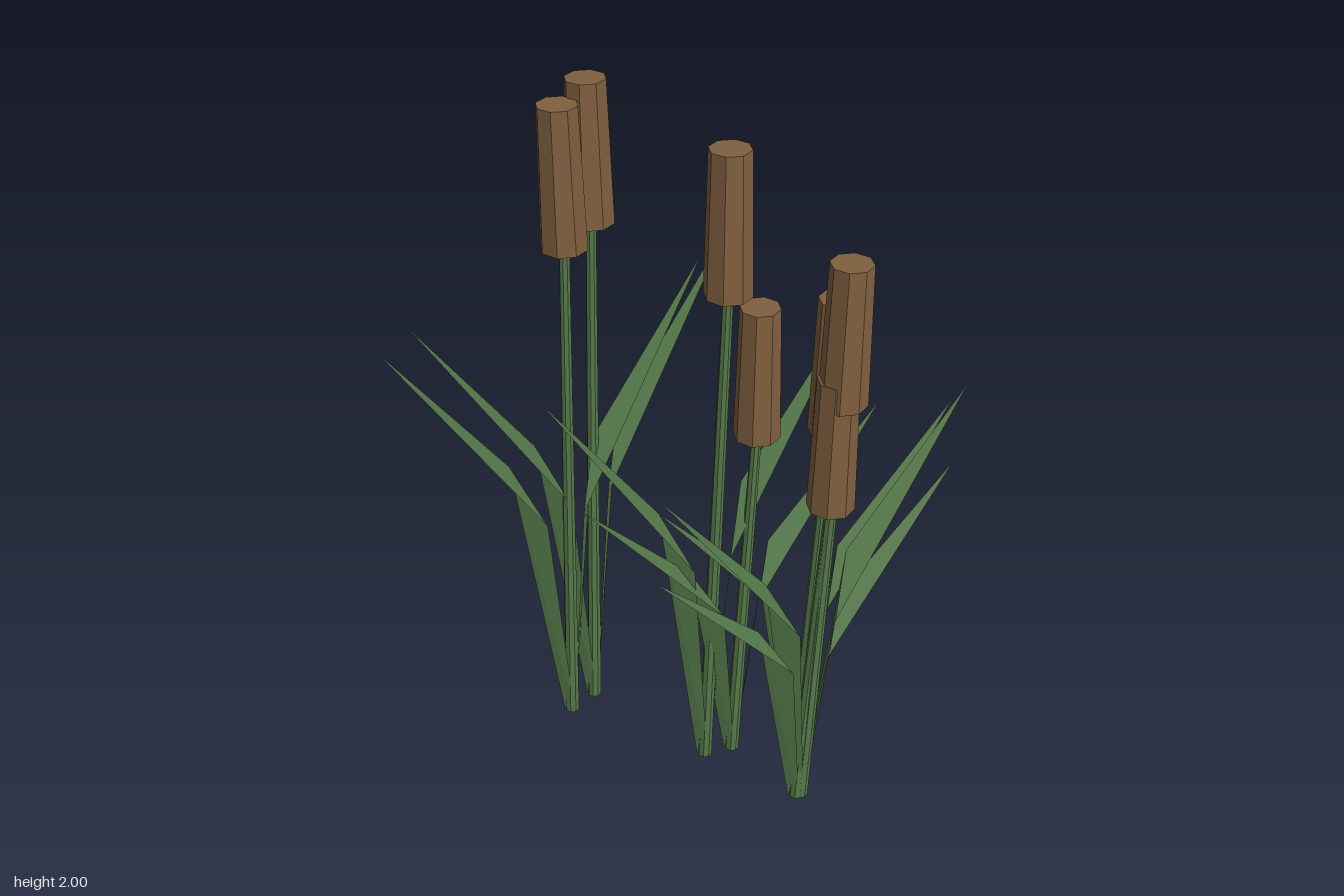
import * as THREE from 'three';

const green = new THREE.MeshStandardMaterial({ color: 0x557a4a, flatShading: true });
const leafGreen = new THREE.MeshStandardMaterial({ color: 0x557a4a, flatShading: true, side: THREE.DoubleSide });
const brown = new THREE.MeshStandardMaterial({ color: 0x80603f, flatShading: true });

const LEAN = 0.057;
const HEAD_HEIGHT = 0.38;

// One reed per row: base x, base z, height of the underside of its head
const reeds = [
  [-0.225, -0.327, 1.58],
  [-0.132, -0.35, 1.62],
  [0.017, 0.057, 1.55],
  [0.1, 0.079, 1.12],
  [0.223, 0.235, 1.18],
  [0.163, 0.345, 1.34],
  [0.15, 0.34, 1.03],
];

// Slightly leaning, tapered stalk
function makeStem(height) {
  const geometry = new THREE.CylinderGeometry(0.014, 0.021, height, 8);
  geometry.translate(0, height / 2, 0);
  const position = geometry.attributes.position;
  for (let i = 0; i < position.count; i++) {
    position.setX(i, position.getX(i) + LEAN * position.getY(i) / height);
  }
  geometry.computeVertexNormals();
  const stem = new THREE.Mesh(geometry, green);
  stem.name = 'stem';
  return stem;
}

// Upright seed head, a little wider at the bottom
function makeHead(bottom) {
  const head = new THREE.Mesh(new THREE.CylinderGeometry(0.053, 0.063, HEAD_HEIGHT, 8), brown);
  head.position.set(LEAN, bottom + HEAD_HEIGHT / 2, 0);
  head.name = 'seedHead';
  return head;
}

// Folded blade: narrow foot, wide slanted crease, pointed tip
function makeLeaf(side, scaleY) {
  const points = [
    [0.02, 0, -0.014], [0.0, 0, 0.014],
    [0.132, 0.955, -0.033], [0.058, 0.76, 0.032],
    [0.475, 1.45, 0],
  ].map(([x, y, z]) => [side * x, y * scaleY, z]);
  const geometry = new THREE.BufferGeometry();
  geometry.setAttribute('position', new THREE.Float32BufferAttribute(points.flat(), 3));
  const faces = [0, 2, 1, 1, 2, 3, 2, 4, 3];
  geometry.setIndex(side > 0 ? faces : faces.reverse());
  geometry.computeVertexNormals();
  const leaf = new THREE.Mesh(geometry, leafGreen);
  leaf.name = side > 0 ? 'leftLeaf' : 'rightLeaf';
  return leaf;
}

export function createModel() {
  const model = new THREE.Group();
  model.name = 'reedClump';
  for (const [x, z, height] of reeds) {
    const reed = new THREE.Group();
    reed.name = 'reed';
    reed.position.set(x, 0, z);
    const leafScale = (0.2 + 0.79 * height) / 1.45;
    reed.add(makeStem(height), makeHead(height), makeLeaf(1, leafScale), makeLeaf(-1, leafScale));
    model.add(reed);
  }
  return model;
}
